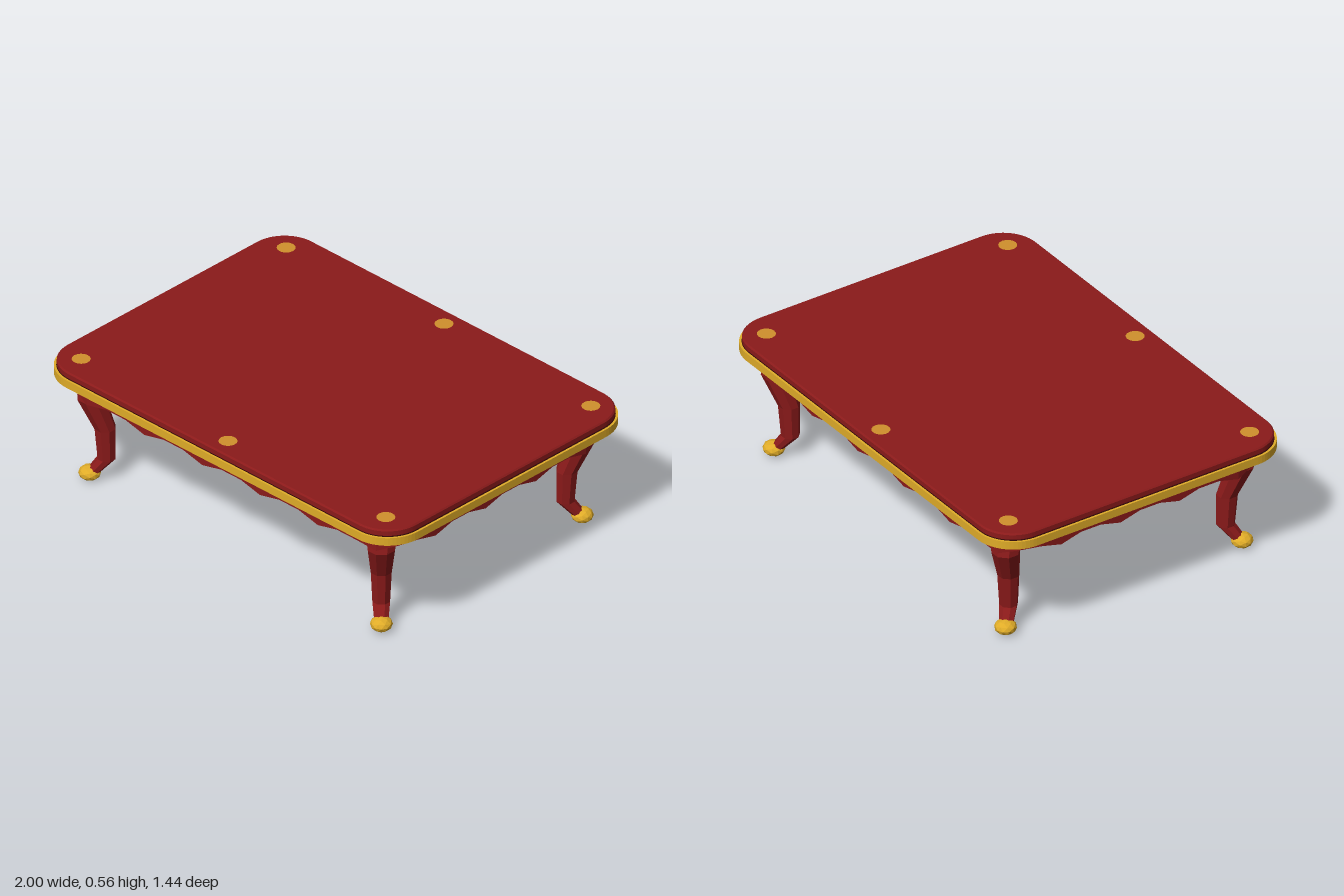
import * as THREE from 'three';

const red = new THREE.MeshStandardMaterial({ color: 0x8b1a1a });
red.name = 'red lacquer';
const darkRed = new THREE.MeshStandardMaterial({ color: 0x2a0505 });
darkRed.name = 'dark underside';
const gold = new THREE.MeshStandardMaterial({ color: 0xe0ac28 });
gold.name = 'gold';
const bronze = new THREE.MeshStandardMaterial({ color: 0xd0902c });
bronze.name = 'bronze inlay';

function add(parent, name, geometry, material, x = 0, y = 0, z = 0) {
  const mesh = new THREE.Mesh(geometry, material);
  mesh.name = name;
  mesh.position.set(x, y, z);
  parent.add(mesh);
}

// Faceted skin over closed rings of points, each ring running from +x towards +z
function loft(rings) {
  const n = rings[0].length;
  const index = [];
  for (let i = 0; i < rings.length - 1; i++) {
    for (let j = 0; j < n; j++) {
      const k = (j + 1) % n;
      const a = i * n + j, b = i * n + k, c = a + n, d = b + n;
      index.push(a, b, c, b, d, c);
    }
  }
  const indexed = new THREE.BufferGeometry().setFromPoints(rings.flat());
  indexed.setIndex(index);
  const g = indexed.toNonIndexed();
  g.computeVertexNormals();
  return g;
}

function roundedRect(hx, hz, r, Type = THREE.Shape) {
  const s = new Type();
  s.moveTo(hx, -hz + r);
  s.absarc(hx - r, hz - r, r, 0, Math.PI / 2);
  s.absarc(-hx + r, hz - r, r, Math.PI / 2, Math.PI);
  s.absarc(-hx + r, -hz + r, r, Math.PI, Math.PI * 1.5);
  s.absarc(hx - r, -hz + r, r, Math.PI * 1.5, Math.PI * 2);
  return s;
}

// Horizontal slab with its lower face at y = 0
function slab(shape, height, bevel = 0) {
  const g = new THREE.ExtrudeGeometry(shape, {
    depth: height - 2 * bevel, curveSegments: 8, bevelEnabled: bevel > 0,
    bevelSize: bevel, bevelThickness: bevel, bevelSegments: 1, bevelOffset: -bevel,
  });
  g.translate(0, 0, bevel);
  g.rotateX(-Math.PI / 2);
  return g;
}

// Rounded outline of the apron: half of it, then the same turned by 180 degrees
function apronRing(inset, heightAt) {
  const hx = 0.945 - inset, hz = 0.665 - inset, r = 0.18 - inset;
  const cx = hx - r, cz = hz - r;
  const half = [];
  const corner = (x, z, start) => {
    for (let i = 0; i < 3; i++) {
      const a = start + i * Math.PI / 6;
      half.push([x + r * Math.cos(a), z + r * Math.sin(a)]);
    }
  };
  for (let i = 0; i < 14; i++) half.push([cx - 2 * cx * i / 14, hz]);
  corner(-cx, cz, Math.PI / 2);
  for (let i = 0; i < 10; i++) half.push([-hx, cz - 2 * cz * i / 10]);
  corner(-cx, -cz, Math.PI);
  const all = [...half, ...half.map(([x, z]) => [-x, -z])];
  return all.map(([x, z], i) => new THREE.Vector3(x, heightAt(i), z));
}

// Curved leg: [height, outward shift, radius]
function legGeometry() {
  const profile = [
    [0.51, 0.025, 0.063], [0.45, 0.045, 0.067], [0.395, 0.063, 0.06],
    [0.25, 0.006, 0.046], [0.105, 0, 0.039], [0.035, 0.06, 0.03],
  ];
  return loft(profile.map(([y, shift, r]) => Array.from({ length: 8 }, (_, i) => {
    const a = (i + 0.5) * Math.PI / 4;
    return new THREE.Vector3(shift + r * Math.cos(a), y, r * Math.sin(a));
  })));
}

export function createModel() {
  const table = new THREE.Group();
  table.name = 'table';

  // Table top, dark board beneath it and gold trim around the board
  add(table, 'tableTop', slab(roundedRect(0.987, 0.707, 0.16), 0.033, 0.006), red, 0, 0.532, 0);
  add(table, 'underBoard', slab(roundedRect(0.99, 0.708, 0.162), 0.033), darkRed, 0, 0.4995, 0);
  const trim = roundedRect(1, 0.718, 0.172);
  trim.holes.push(roundedRect(0.99, 0.708, 0.162, THREE.Path));
  add(table, 'edgeTrim', slab(trim, 0.036), gold, 0, 0.498, 0);

  // Scalloped apron: every third point of the lower edge dips
  const top = () => 0.51;
  const scallop = (i) => ((i + 1) % 3 === 0 ? 0.42 : 0.445);
  add(table, 'apron', loft([
    apronRing(0, top), apronRing(0, scallop), apronRing(0.015, scallop), apronRing(0.015, top),
  ]), red);

  // Legs with gold feet, turned out towards the corners
  const leg = legGeometry();
  const foot = new THREE.IcosahedronGeometry(0.047, 1).scale(1, 0.68, 1);
  foot.computeVertexNormals();
  for (const sx of [-1, 1]) {
    for (const sz of [-1, 1]) {
      const group = new THREE.Group();
      group.name = (sz > 0 ? 'front' : 'back') + (sx > 0 ? 'Left' : 'Right') + 'Leg';
      group.position.set(sx * 0.78, 0, sz * 0.535);
      group.rotation.y = -Math.atan2(sz, sx);
      add(group, 'leg', leg, red);
      add(group, 'foot', foot, gold, 0.068, 0.035, 0);
      table.add(group);
    }
  }

  // Inlaid discs on the top
  const disc = new THREE.CircleGeometry(0.039, 16).rotateX(-Math.PI / 2);
  for (const sz of [-1, 1]) {
    for (const x of [-0.865, 0, 0.865]) {
      add(table, 'inlayDisc', disc, bronze, x, 0.5665, sz * (x ? 0.595 : 0.627));
    }
  }
  return table;
}
